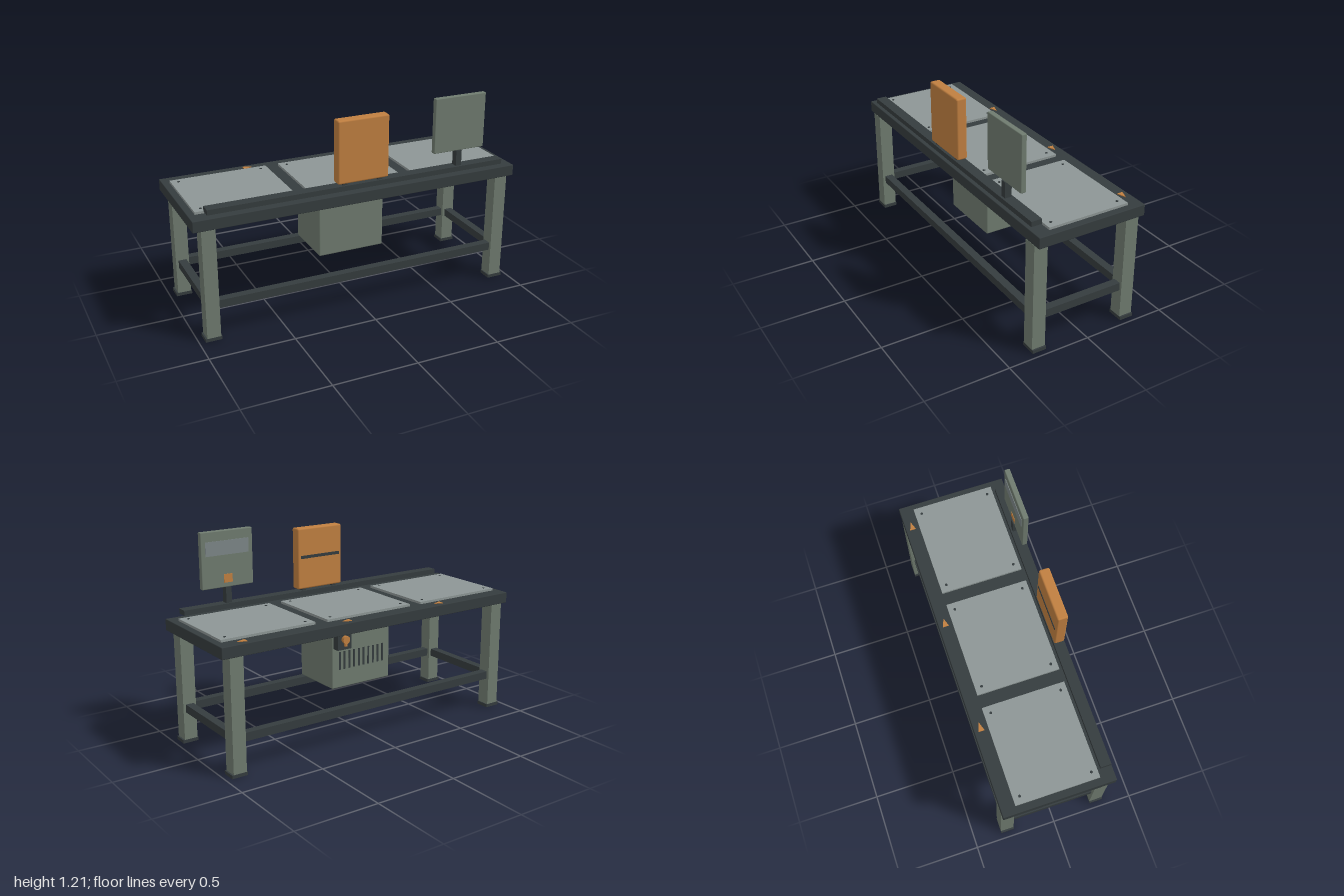
import * as THREE from 'three';
import { RoundedBoxGeometry } from 'three/addons/geometries/RoundedBoxGeometry.js';

const mat = (name, color) => {
  const m = new THREE.MeshStandardMaterial({ color });
  m.name = name;
  return m;
};

export function createModel() {
  const green = mat('greyGreen', 0x6f7b6f);
  const dark = mat('darkSlate', 0x353c3e);
  const orange = mat('orange', 0xc07f40);
  const plate = mat('plateGrey', 0x8d9695);
  const glass = mat('screenGrey', 0x7c8687);
  const root = new THREE.Group();
  root.name = 'workbench';

  const add = (name, geometry, material, x, y, z) => {
    const m = new THREE.Mesh(geometry, material);
    m.name = name;
    m.position.set(x, y, z);
    root.add(m);
    return m;
  };
  // box from its limits on each axis, with an optional rounded edge
  const box = (name, material, [x0, x1], [y0, y1], [z0, z1], r = 0) => {
    const s = [x1 - x0, y1 - y0, z1 - z0];
    const g = r ? new RoundedBoxGeometry(...s, 2, r) : new THREE.BoxGeometry(...s);
    return add(name, g, material, (x0 + x1) / 2, (y0 + y1) / 2, (z0 + z1) / 2);
  };

  // bench top
  box('benchTop', dark, [-1, 1], [0.67, 0.737], [-0.333, 0.333], 0.004);

  // legs, feet and lower rails
  for (const s of [-1, 1]) {
    for (const t of [-1, 1]) {
      add('leg', new THREE.BoxGeometry(0.08, 0.65, 0.082), green, s * 0.915, 0.345, t * 0.291);
      add('foot', new THREE.BoxGeometry(0.096, 0.02, 0.084), dark, s * 0.917, 0.01, t * 0.291);
    }
    add('sideRail', new THREE.BoxGeometry(0.048, 0.048, 0.5), dark, s * 0.915, 0.211, 0);
    add('longRail', new THREE.BoxGeometry(1.75, 0.048, 0.048), dark, 0, 0.211, s * 0.291);
  }

  // three work plates with corner screws and direction arrows
  const arrowShape = new THREE.Shape([
    new THREE.Vector2(-0.025, -0.018), new THREE.Vector2(0.027, 0), new THREE.Vector2(-0.025, 0.018),
  ]);
  const arrowGeo = new THREE.ExtrudeGeometry(arrowShape, { depth: 0.005, bevelEnabled: false });
  arrowGeo.rotateX(-Math.PI / 2);
  const screwGeo = new THREE.CylinderGeometry(0.008, 0.008, 0.004, 12);
  for (const x of [-0.666, 0, 0.666]) {
    box('workPlate', plate, [x - 0.293, x + 0.293], [0.735, 0.751], [-0.249, 0.247]);
    for (const s of [-1, 1]) {
      for (const t of [-1, 1]) add('plateScrew', screwGeo, dark, x + s * 0.25, 0.751, t * 0.21);
    }
    add('directionArrow', arrowGeo, orange, x + 0.194, 0.736, -0.291);
  }

  // raised rail along the front
  box('equipmentRail', dark, [-0.915, 0.915], [0.756, 0.786], [0.262, 0.326]);

  // upright orange unit
  for (const s of [-1, 1]) {
    add('unitFoot', new THREE.BoxGeometry(0.027, 0.014, 0.04), dark, s * 0.109, 0.791, 0.293);
  }
  box('uprightUnit', orange, [-0.157, 0.157], [0.797, 1.168], [0.262, 0.325], 0.01);
  box('unitSlot', dark, [-0.138, 0.138], [0.984, 1.002], [0.2585, 0.264]);

  // display, its screen facing the bench
  box('displayPost', dark, [0.606, 0.642], [0.78, 0.88], [0.272, 0.313]);
  box('displayBody', green, [0.458, 0.789], [0.88, 1.21], [0.278, 0.31], 0.005);
  box('displayScreen', glass, [0.485, 0.762], [1.07, 1.153], [0.275, 0.28]);
  box('displayButton', orange, [0.595, 0.65], [0.907, 0.957], [0.275, 0.28]);

  // cabinet under the bench with vent slots on its back
  box('cabinet', green, [-0.206, 0.206], [0.296, 0.67], [-0.165, 0.166], 0.008);
  for (let i = 0; i < 10; i++) {
    add('ventSlot', new THREE.BoxGeometry(0.012, 0.108, 0.005), dark, -0.153 + i * 0.034, 0.461, -0.1655);
  }

  // rotary switch on the cabinet back
  box('switchBox', dark, [0.1, 0.195], [0.54, 0.646], [-0.208, -0.163]);
  const knob = add('switchKnob', new THREE.CylinderGeometry(0.023, 0.023, 0.022, 24), orange, 0.147, 0.601, -0.218);
  knob.rotation.x = Math.PI / 2;
  box('switchHandle', orange, [0.139, 0.155], [0.562, 0.61], [-0.224, -0.212]);

  return root;
}
